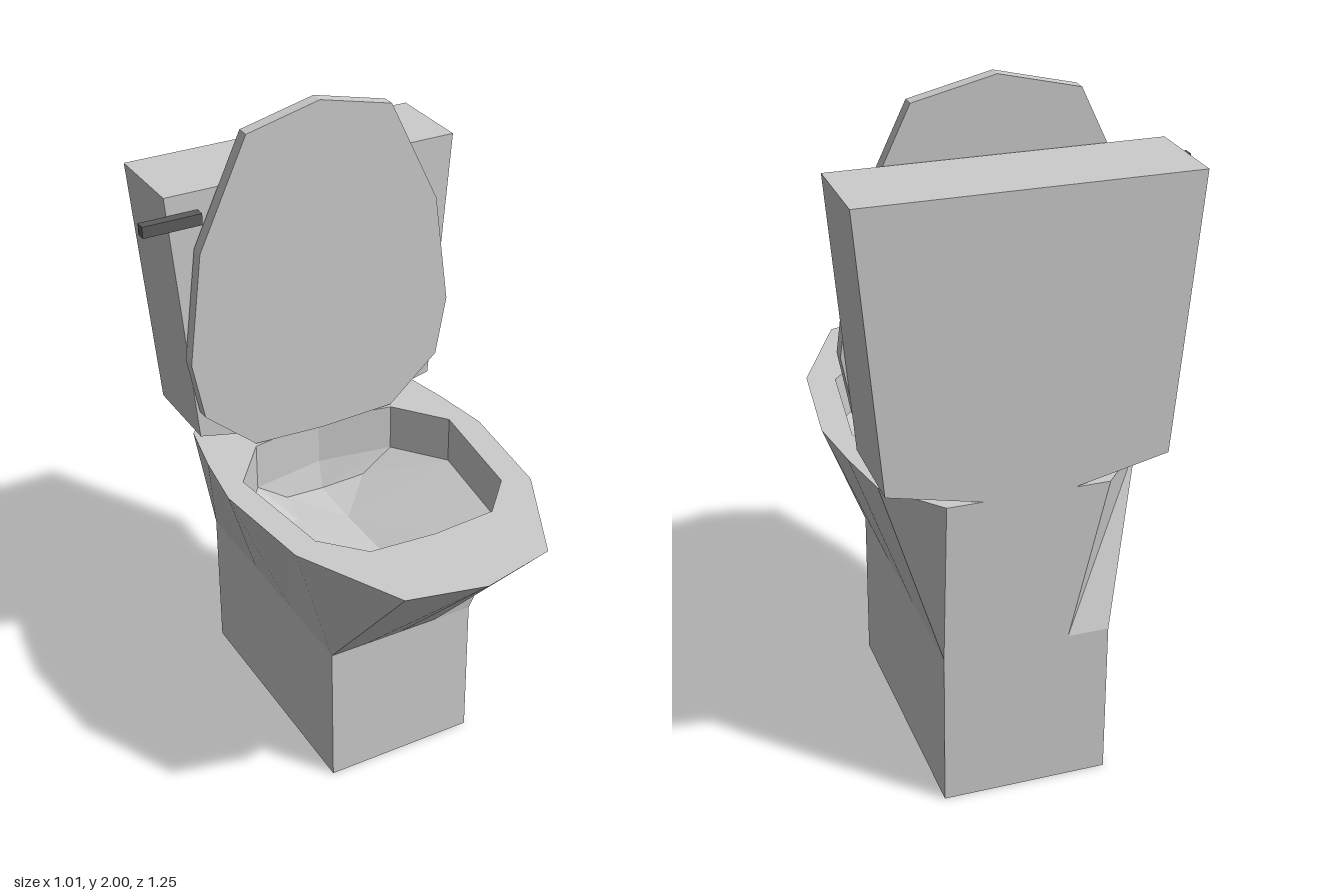
import * as THREE from 'three';

const grey = new THREE.MeshStandardMaterial({ color: 0xcccccc, flatShading: true });
const dark = new THREE.MeshStandardMaterial({ color: 0x5c5c5c, flatShading: true });

// Mirror half an outline (first and last points on the centre line) to a closed loop.
const mirror = (half) => [
  ...half,
  ...half.slice(1, -1).reverse().map(([x, ...rest]) => [-x, ...rest]),
];

// Turn [x, z] points into a level ring at height y.
const level = (half, y) => mirror(half.map(([x, z]) => [x, y, z]));

// Skin a list of rings having the same number of points.
function loft(rings) {
  const pos = [];
  for (let r = 0; r + 1 < rings.length; r++) {
    const a = rings[r], b = rings[r + 1], n = a.length;
    for (let i = 0; i < n; i++) {
      const j = (i + 1) % n;
      pos.push(...a[i], ...a[j], ...b[j], ...a[i], ...b[j], ...b[i]);
    }
  }
  const g = new THREE.BufferGeometry();
  g.setAttribute('position', new THREE.Float32BufferAttribute(pos, 3));
  g.computeVertexNormals();
  return g;
}

const toShape = (pts) => new THREE.Shape(pts.map(([x, y]) => new THREE.Vector2(x, y)));

export function createModel() {
  const model = new THREE.Group();
  model.name = 'toilet';
  const add = (parent, name, geometry, material = grey) => {
    const mesh = new THREE.Mesh(geometry, material);
    mesh.name = name;
    parent.add(mesh);
    return mesh;
  };

  // Symmetric body, set slightly aside to make room for the lever
  const body = new THREE.Group();
  body.name = 'body';
  body.position.x = 0.035;
  model.add(body);

  // Pedestal
  add(body, 'pedestal', new THREE.BoxGeometry(0.48, 0.47, 0.8)).position.set(0, 0.235, -0.23);

  // Bowl flaring from the pedestal to the rim
  const foot = [[0, 0.17], [0.12, 0.17], [0.24, 0.17], [0.24, -0.1], [0.24, -0.335],
    [0.24, -0.63], [0.12, -0.63], [0, -0.63]];
  const rim = [[0, 0.625], [0.23, 0.57], [0.39, 0.245], [0.43, -0.1], [0.405, -0.29],
    [0.37, -0.47], [0.23, -0.63], [0, -0.63]];
  add(body, 'bowl', loft([level(foot, 0.47), level(rim, 0.94)]));

  // Flat rim with its opening
  const opening = [[0, 0.345], [0.2, 0.33], [0.31, 0.21], [0.355, -0.155], [0.235, -0.31], [0, -0.35]];
  const flat = (half) => mirror(half).map(([x, z]) => [x, -z]);
  const rimShape = toShape(flat(rim));
  rimShape.holes.push(toShape(flat(opening)));
  const rimTop = add(body, 'rim', new THREE.ShapeGeometry(rimShape));
  rimTop.rotation.x = -Math.PI / 2;
  rimTop.position.y = 0.94;

  // Basin: upright wall, sloping floor and hollow
  const floor = mirror([[0, 0.7, 0.09], [0.075, 0.72, 0.115], [0.15, 0.74, 0.14],
    [0.175, 0.74, -0.155], [0.135, 0.72, -0.31], [0, 0.7, -0.33]]);
  const centre = floor.map(([, , z]) => [0, 0.69, THREE.MathUtils.clamp(z, -0.16, 0.09)]);
  add(body, 'basin', loft([level(opening, 0.94), level(opening, 0.79), floor, centre]));

  // Tank tapering downwards onto the bowl
  const tank = toShape(mirror([[0, 0.94], [0.13, 0.94], [0.395, 1.0], [0.465, 1.79], [0, 1.79]]));
  add(body, 'tank', new THREE.ExtrudeGeometry(tank, { depth: 0.275, bevelEnabled: false }))
    .position.z = -0.63;

  // Raised lid
  const lid = toShape(mirror([[0, 0.94], [0.235, 0.95], [0.395, 1.09], [0.43, 1.275],
    [0.385, 1.62], [0.23, 1.945], [0, 2.0]]));
  add(body, 'lid', new THREE.ExtrudeGeometry(lid, { depth: 0.04, bevelEnabled: false }))
    .position.z = -0.35;

  // Flush lever
  add(model, 'flushLever', new THREE.BoxGeometry(0.18, 0.035, 0.03), dark)
    .position.set(-0.42, 1.717, -0.34);

  return model;
}
